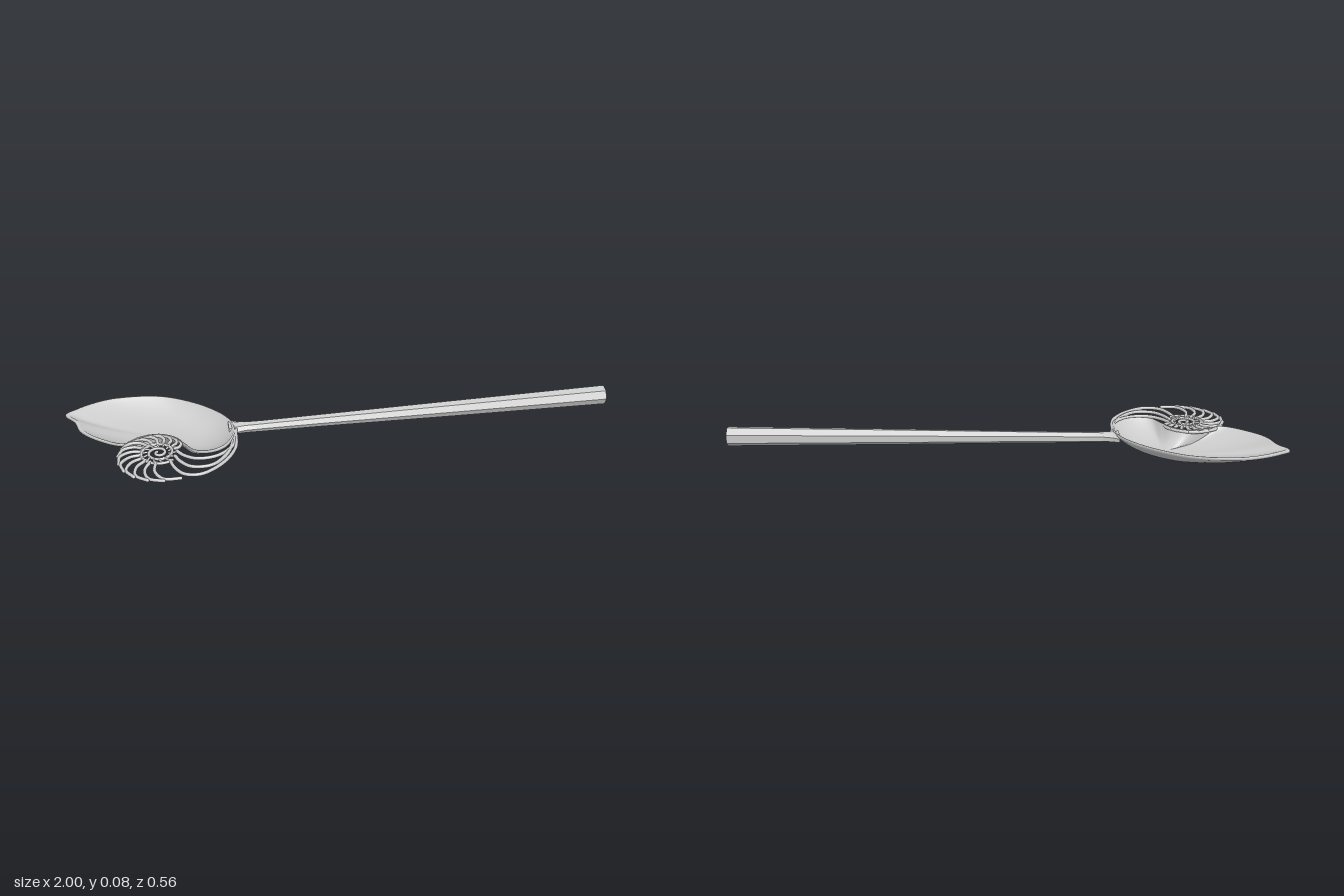
import * as THREE from 'three';

const SMOOTH = new THREE.MeshStandardMaterial({ color: 0xcccccc, side: THREE.DoubleSide });
const FACETED = new THREE.MeshStandardMaterial({ color: 0xcccccc, flatShading: true });

// Skin a list of closed rings, each an array of Vector3 of equal length
function loft(rings) {
  const n = rings[0].length, index = [];
  for (let i = 0; i < rings.length - 1; i++) {
    for (let j = 0; j < n; j++) {
      const a = i * n + j, b = i * n + (j + 1) % n, c = a + n, d = b + n;
      index.push(a, c, b, b, c, d);
    }
  }
  const geo = new THREE.BufferGeometry().setFromPoints(rings.flat());
  geo.setIndex(index);
  geo.computeVertexNormals();
  return geo;
}

function named(name, geo, mat) {
  const mesh = new THREE.Mesh(geo, mat);
  mesh.name = name;
  return mesh;
}

// Shell-shaped bowl: the rim outline shrinks toward the deepest point
function bowl() {
  const outline = [
    [-1, -0.2], [-0.965, -0.228], [-0.905, -0.26], [-0.84, -0.28], [-0.76, -0.284], [-0.68, -0.275],
    [-0.61, -0.25], [-0.5, -0.175], [-0.42, -0.08], [-0.4, -0.01], [-0.41, 0.055], [-0.45, 0.112],
    [-0.5, 0.13], [-0.55, 0.118], [-0.583, 0.07], [-0.62, 0.02], [-0.675, -0.008], [-0.74, 0.008],
    [-0.8, 0.034], [-0.88, -0.01], [-0.945, -0.08], [-0.968, -0.15],
  ].map(([x, z]) => new THREE.Vector3(x, 0, z));
  const rim = new THREE.CatmullRomCurve3(outline, true).getPoints(132).slice(0, -1);
  const cx = -0.58, cz = -0.06, steps = 14;
  const ring = (s, y) => rim.map(p => new THREE.Vector3(cx + (p.x - cx) * s, y, cz + (p.z - cz) * s));
  const rings = [];
  for (let i = 0; i <= steps; i++) {
    const s = i / steps;
    rings.push(ring(s, 0.001 + 0.059 * s ** 2.6));
  }
  rings.push(ring(1, 0.067), ring(0.99, 0.07), ring(0.97, 0.07));
  for (let i = steps; i >= 0; i--) {
    const s = i / steps;
    rings.push(ring(s * 0.96, 0.009 + 0.058 * s ** 2.6));
  }
  return named('bowl', loft(rings), SMOOTH);
}

// Seven-sided handle, flared where it meets the bowl
function handle() {
  const sections = [ // x, y, z, half height, half width
    [-0.42, 0.052, -0.033, 0, 0], [-0.42, 0.052, -0.033, 0.016, 0.048],
    [-0.395, 0.051, -0.032, 0.018, 0.034], [-0.36, 0.05, -0.031, 0.019, 0.024],
    [-0.3, 0.049, -0.03, 0.02, 0.021], [-0.1, 0.049, -0.03, 0.022, 0.023],
    [0.4, 0.048, -0.028, 0.029, 0.029], [1, 0.047, -0.026, 0.036, 0.036], [1, 0.047, -0.026, 0, 0],
  ];
  const rings = sections.map(([x, y, z, h, w]) => Array.from({ length: 7 }, (_, j) => {
    const a = j / 7 * Math.PI * 2 + 0.25;
    return new THREE.Vector3(x, y + h * Math.cos(a), z - w * Math.sin(a));
  }));
  return named('handle', loft(rings), FACETED);
}

// Round bar with closed ends through points in the horizontal plane
const LEVEL = 0.062;
function bar(name, points, radius, segments) {
  const group = new THREE.Group();
  group.name = name;
  const pts = points.map(([x, z]) => new THREE.Vector3(x, LEVEL, z));
  const curve = new THREE.CatmullRomCurve3(pts);
  group.add(named(name + 'Bar', new THREE.TubeGeometry(curve, segments, radius, 8), SMOOTH));
  for (const p of [pts[0], pts[pts.length - 1]]) {
    const end = named(name + 'End', new THREE.SphereGeometry(radius, 8, 6), SMOOTH);
    end.position.copy(p);
    group.add(end);
  }
  return group;
}

// Openwork spiral with swept ribs
function spiral() {
  const group = new THREE.Group();
  group.name = 'spiralOrnament';
  const cx = -0.675, cz = 0.1;
  const polar = (r, deg) => {
    const a = THREE.MathUtils.degToRad(deg);
    return [cx + r * Math.cos(a), cz + r * Math.sin(a)];
  };
  // Central coil, opening out to the lower right
  const coil = [];
  for (let i = 0; i <= 54; i++) {
    const t = i / 54;
    coil.push(polar(0.008 + 0.062 * t ** 1.1, 410 - 900 * (1 - t) * -1 - 360));
  }
  group.add(bar('coil', coil, 0.0055, 150));
  // Fine partitions between the turns of the coil
  for (let i = 0; i < 14; i++) {
    const a = i * 360 / 14;
    group.add(bar('partition', [polar(0.036, a + 14), polar(0.05, a + 9), polar(0.066, a)], 0.004, 6));
  }
  // Short hooked ribs, growing from the top round the left to the bottom
  const count = 14;
  for (let i = 0; i < count; i++) {
    const t = i / (count - 1);
    const tip = 310 - 242 * t, r = 0.1 + 0.08 * t ** 1.1;
    const r0 = 0.06;
    group.add(bar('shortRib', [
      polar(r0, tip + 34), polar(r0 + (r - r0) * 0.45, tip + 31),
      polar(r0 + (r - r0) * 0.85, tip + 18), polar(r, tip),
    ], 0.0062, 14));
  }
  // Long ribs sweeping round to the neck
  const long = [
    [[-0.638, 0.155], [-0.625, 0.2], [-0.595, 0.243], [-0.54, 0.254], [-0.465, 0.206], [-0.41, 0.12], [-0.396, 0.0]],
    [[-0.62, 0.13], [-0.602, 0.168], [-0.567, 0.203], [-0.5, 0.206], [-0.44, 0.147], [-0.402, 0.03]],
    [[-0.612, 0.1], [-0.59, 0.13], [-0.545, 0.158], [-0.475, 0.152], [-0.417, 0.1], [-0.4, 0.01]],
  ];
  for (const points of long) group.add(bar('longRib', points, 0.0065, 36));
  return group;
}

export function createModel() {
  const model = new THREE.Group();
  model.name = 'shellSpoon';
  model.add(bowl(), handle(), spiral());
  return model;
}
